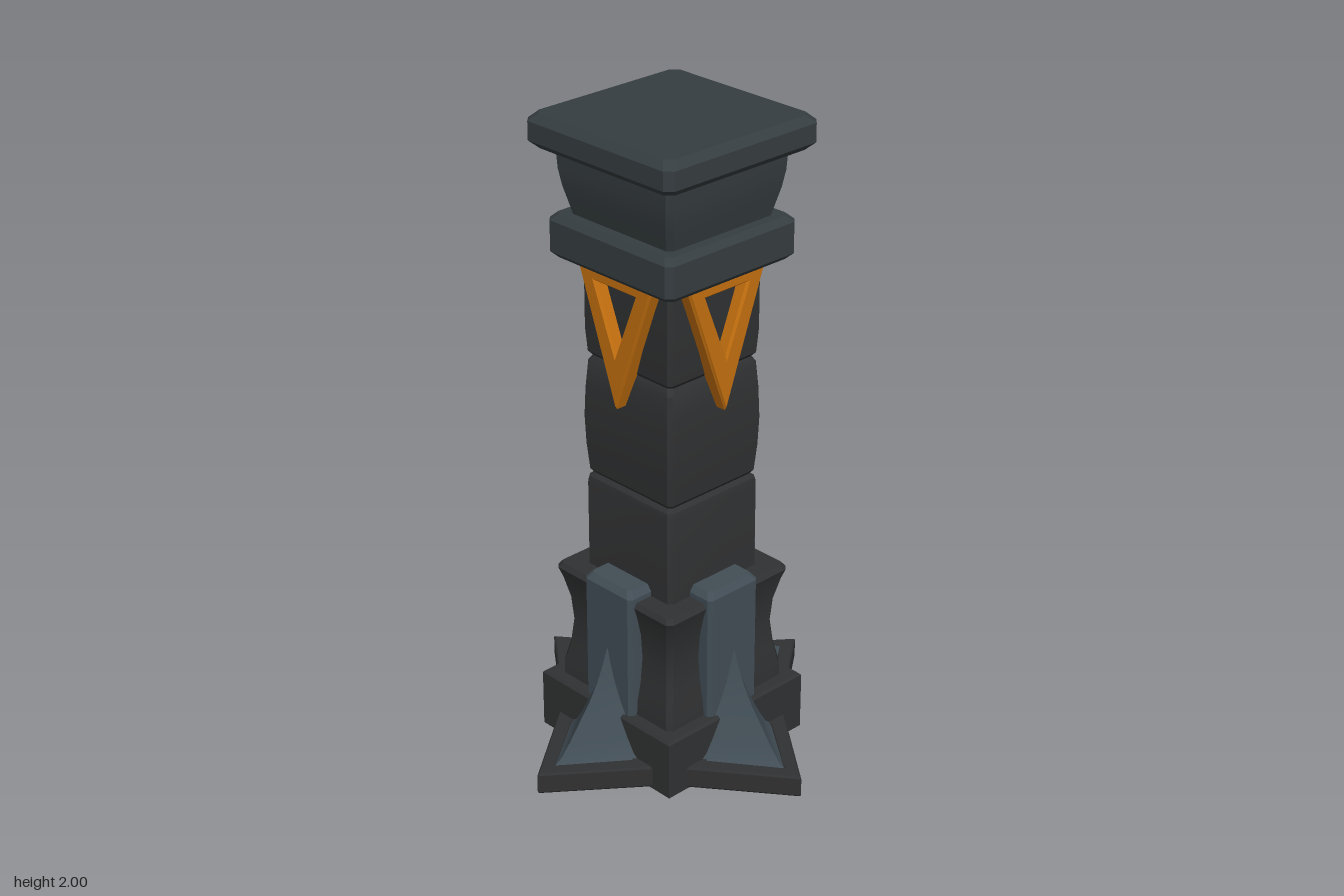
import * as THREE from 'three';
import { toCreasedNormals } from 'three/addons/utils/BufferGeometryUtils.js';

const paint = (color) => {
  const m = new THREE.MeshStandardMaterial();
  m.color.set(color);
  return m;
};

// Skin a stack of rings (each counter-clockwise seen from above, bottom to top).
function loft(rings, capBottom = true, crease = 0.5) {
  const pos = [];
  const tri = (a, b, c) => pos.push(...a, ...b, ...c);
  const n = rings[0].length;
  for (let i = 0; i < rings.length - 1; i++) {
    for (let j = 0; j < n; j++) {
      const k = (j + 1) % n;
      const [lo, hi] = [rings[i], rings[i + 1]];
      tri(lo[j], lo[k], hi[k]);
      tri(lo[j], hi[k], hi[j]);
    }
  }
  const bottom = rings[0];
  const top = rings[rings.length - 1];
  for (let j = 1; j < n - 1; j++) {
    tri(top[0], top[j], top[j + 1]);
    if (capBottom) tri(bottom[0], bottom[j + 1], bottom[j]);
  }
  const g = new THREE.BufferGeometry();
  g.setAttribute('position', new THREE.Float32BufferAttribute(pos, 3));
  return toCreasedNormals(g, crease);
}

// Square block with chamfered corners; profile is a list of [half width, height].
function squareBlock(profile, chamfer) {
  return loft(profile.map(([h, y]) => {
    const c = h - chamfer;
    return [[h, y, c], [h, y, -c], [c, y, -h], [-c, y, -h],
      [-h, y, -c], [-h, y, c], [-c, y, h], [c, y, h]];
  }));
}

// Slab with all its edges bevelled.
const slab = (h, y0, y1, b) =>
  squareBlock([[h - b, y0], [h, y0 + b], [h, y1 - b], [h - b, y1]], b);

// Outline with a hole, extruded to an exact depth.
function frame(outer, inner, depth, bevel) {
  const points = (list) => list.map(([x, y]) => new THREE.Vector2(x, y));
  const shape = new THREE.Shape(points(outer));
  shape.holes.push(new THREE.Path(points(inner)));
  return new THREE.ExtrudeGeometry(shape, {
    depth: depth - 2 * bevel, bevelEnabled: true, bevelThickness: bevel,
    bevelSize: bevel, bevelOffset: -bevel, bevelSegments: 1,
  }).translate(0, 0, bevel);
}

const square = (h) => [[-h, -h], [h, -h], [h, h], [-h, h]];

export function createModel() {
  const model = new THREE.Group();
  const stone = paint(0x303132);
  const trim = paint(0x363d40);
  const slate = paint(0x414d55);
  const orange = paint(0xc4700f);
  const slateOpen = slate.clone();
  slateOpen.side = THREE.DoubleSide;

  const add = (parent, name, geometry, material) => {
    const mesh = new THREE.Mesh(geometry, material);
    mesh.name = name;
    parent.add(mesh);
    return mesh;
  };

  // Hollow square base
  add(model, 'base', frame(square(0.28), square(0.2), 0.2, 0.008).rotateX(-Math.PI / 2), stone);

  // Waisted block whose corners show as piers
  add(model, 'cornerPiers', squareBlock([
    [0.24, 0.18], [0.238, 0.24], [0.224, 0.31], [0.216, 0.39], [0.222, 0.47],
    [0.238, 0.54], [0.248, 0.57], [0.238, 0.585],
  ], 0.015), stone);

  // Three stacked, slightly bulging shaft blocks
  add(model, 'lowerShaft', squareBlock([
    [0.18, 0.5], [0.18, 0.86], [0.176, 0.88], [0.163, 0.892]], 0.012), stone);
  add(model, 'middleShaft', squareBlock([
    [0.163, 0.89], [0.175, 0.905], [0.182, 0.99], [0.185, 1.08], [0.182, 1.17],
    [0.176, 1.25], [0.163, 1.272]], 0.012), stone);
  add(model, 'upperShaft', squareBlock([
    [0.163, 1.27], [0.176, 1.285], [0.181, 1.36], [0.181, 1.5], [0.178, 1.6]], 0.012), stone);

  // Collar, flared neck and cap
  add(model, 'collar', slab(0.25, 1.575, 1.705, 0.018), trim);
  add(model, 'neck', squareBlock([
    [0.198, 1.69], [0.21, 1.74], [0.222, 1.79], [0.23, 1.84], [0.234, 1.91]], 0.015), trim);
  add(model, 'cap', slab(0.29, 1.9, 2, 0.022), trim);

  // Parts shared by the four sides
  const pilaster = loft([[0.1, 0.265, 0.1], [0.1, 0.265, 0.6], [0.085, 0.25, 0.62]].map(
    ([w, z, y]) => {
      const c = 0.012;
      return [[w, y, 0.12], [-w, y, 0.12], [-w, y, z - c], [-w + c, y, z], [w - c, y, z], [w, y, z - c]];
    }));
  const spike = loft([[0.49, 0.075], [0.455, 0.095], [0.42, 0.135], [0.386, 0.18],
    [0.343, 0.235], [0.307, 0.295], [0.283, 0.35], [0.266, 0.4]].map(([r, y]) => {
    const w = 0.165 * (r - 0.262) / 0.228;
    return [[w, y, 0.262], [-w, y, 0.262], [0, y, r]];
  }), false);
  const foot = frame(
    [[0, -0.55], [0.222, -0.262], [-0.222, -0.262]],
    [[0, -0.475], [0.135, -0.295], [-0.135, -0.295]], 0.07, 0.006,
  ).rotateX(-Math.PI / 2).translate(0, 0.013, 0);
  const emblem = frame(
    [[-0.15, 1.58], [0, 1.17], [0.15, 1.58]],
    [[-0.08, 1.54], [0, 1.335], [0.08, 1.54]], 0.055, 0.008,
  ).translate(0, 0, 0.167);

  for (let i = 0; i < 4; i++) {
    const side = new THREE.Group();
    side.name = `side${i + 1}`;
    side.rotation.y = i * Math.PI / 2;
    add(side, 'pilaster', pilaster, slate);
    add(side, 'buttressSpike', spike, slateOpen);
    add(side, 'buttressFoot', foot, stone);
    add(side, 'triangleFrame', emblem, orange);
    model.add(side);
  }
  return model;
}
